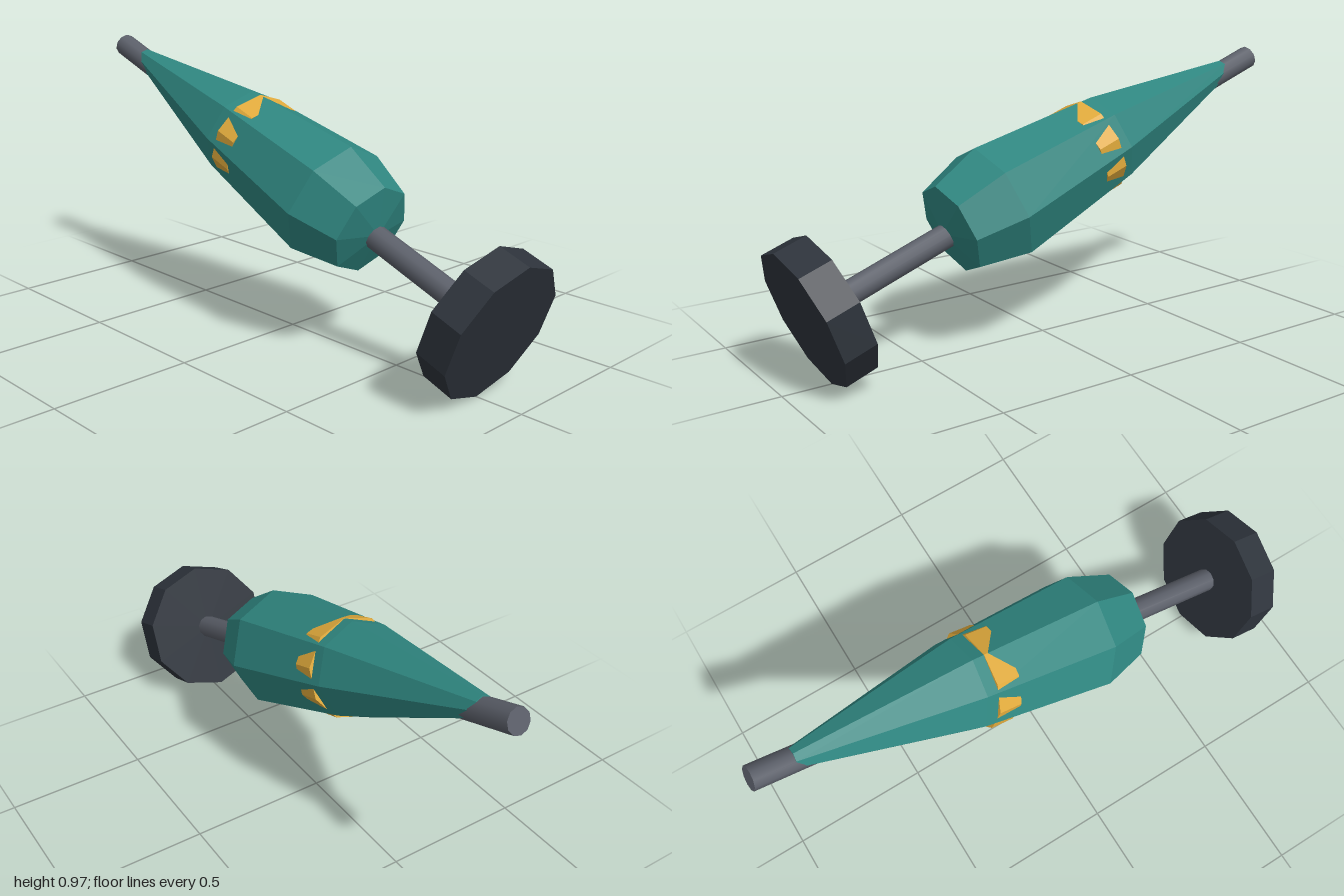
import * as THREE from 'three';

export function createModel() {
  const mat = (name, color, flatShading = true) => {
    const m = new THREE.MeshStandardMaterial({ color, flatShading });
    m.name = name;
    return m;
  };
  const teal = mat('teal', 0x2f8680);
  const gold = mat('gold', 0xe0aa3c);
  const steel = mat('steel grey', 0x5b5f69, false);
  const dark = mat('dark slate', 0x2d333b);

  // The whole spindle is built upright, then leaned back to 20 degrees above the ground
  const model = new THREE.Group();
  const spindle = new THREE.Group();
  spindle.name = 'spindle';
  spindle.rotation.x = -THREE.MathUtils.degToRad(70);
  spindle.position.set(0, 0.235, 0.915);
  model.add(spindle);

  const add = (name, geometry, material, y = 0, z = 0) => {
    const mesh = new THREE.Mesh(geometry, material);
    mesh.name = name;
    mesh.position.set(0, y, z);
    spindle.add(mesh);
  };
  const cylinder = (name, radius, from, to, material, z = 0) =>
    add(name, new THREE.CylinderGeometry(radius, radius, to - from, 10), material, (from + to) / 2, z);

  // Ten-sided base weight and the shaft through the spindle
  cylinder('baseDisc', 0.248, 0, 0.117, dark);
  cylinder('shaft', 0.0425, 0.1, 2.022, steel, 0.001);

  // Wound body: eight sides, sitting slightly off the shaft's centre
  const offset = 0.012;
  const profile = [[0, 0.543], [0.165, 0.578], [0.216, 0.76], [0.168, 1.26], [0.035, 1.88], [0, 1.88]]
    .map(([r, y]) => new THREE.Vector2(r, y));
  add('body', new THREE.LatheGeometry(profile, 8), teal, 0, offset);

  // Ten-sided band that shows through between the body's corners
  cylinder('band', 0.1735, 1.132, 1.218, gold, offset);

  return model;
}
